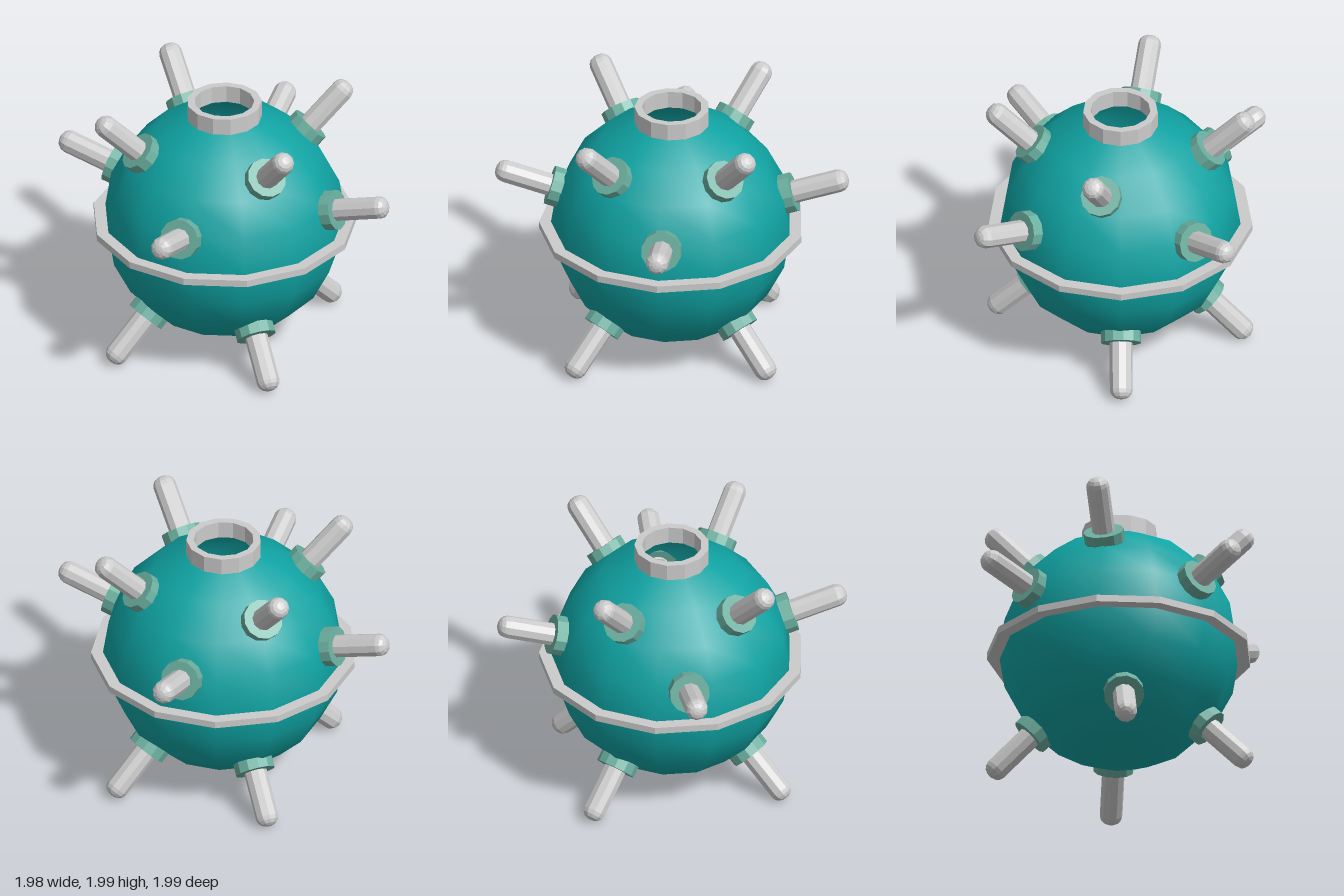
import * as THREE from 'three';

const SIDES = 13;
const rad = THREE.MathUtils.degToRad;
const shellMat = new THREE.MeshStandardMaterial({ color: 0x10a3a3, side: THREE.DoubleSide });
const metalMat = new THREE.MeshStandardMaterial({ color: 0xcccccc, flatShading: true });
const socketMat = new THREE.MeshStandardMaterial({ color: 0x6aae9f, flatShading: true });

function lathe(points, sides, material, name, start = 0) {
  const profile = points.map(([r, y]) => new THREE.Vector2(r, y));
  const mesh = new THREE.Mesh(new THREE.LatheGeometry(profile, sides, start), material);
  mesh.name = name;
  return mesh;
}

// Closed rectangular profile: a flat band between two radii
function band(inner, outer, y0, y1, name) {
  const points = [[inner, y0], [outer, y0], [outer, y1], [inner, y1], [inner, y0]];
  return lathe(points, SIDES, metalMat, name, Math.PI);
}

// Rod with a rounded end standing in a socket disc, both along a radial axis
function createSpike(azimuth, elevation) {
  const spike = new THREE.Group();
  spike.name = 'spike';
  const tip = 1.365;
  spike.add(lathe([[0, 0.84], [0.085, 0.84], [0.085, tip - 0.07], [0.077, tip - 0.04],
    [0.058, tip - 0.017], [0.03, tip - 0.004], [0, tip]], 10, metalMat, 'rod'));
  spike.add(lathe([[0, 0.86], [0.15, 0.86], [0.15, 0.945], [0, 0.945]], 12, socketMat, 'socket'));
  const a = rad(azimuth), e = rad(elevation);
  const dir = new THREE.Vector3(Math.sin(a) * Math.cos(e), Math.sin(e), Math.cos(a) * Math.cos(e));
  spike.quaternion.setFromUnitVectors(new THREE.Vector3(0, 1, 0), dir);
  return spike;
}

export function createModel() {
  const model = new THREE.Group();
  model.name = 'spikedSphere';
  const body = new THREE.Group();
  body.name = 'body';
  body.position.set(0.01, 1.005, 0);
  model.add(body);

  // Hollow shell, open at the top
  const arc = [];
  for (let i = 0; i <= 9; i++) {
    const t = (i / 10) * Math.PI;
    arc.push([0.893 * Math.sin(t), -0.893 * Math.cos(t)]);
  }
  body.add(lathe(arc, SIDES, shellMat, 'shell', Math.PI));

  // Belt around the middle and collar around the opening
  body.add(band(0.87, 0.98, -0.047, 0.006, 'belt'));
  body.add(band(0.222, 0.277, 0.845, 0.978, 'openingCollar'));

  // Spikes as [azimuth from front, elevation]: upper, middle and lower rows
  const spikes = [
    [4.5, 45], [84, 45], [182, 45], [263, 45],
    [43, 16], [135, 17.5], [223.5, 16], [314.5, 17.5],
    [-3, -45], [97, -45], [176.5, -45], [276, -45],
  ];
  for (const [azimuth, elevation] of spikes) body.add(createSpike(azimuth, elevation));

  return model;
}
